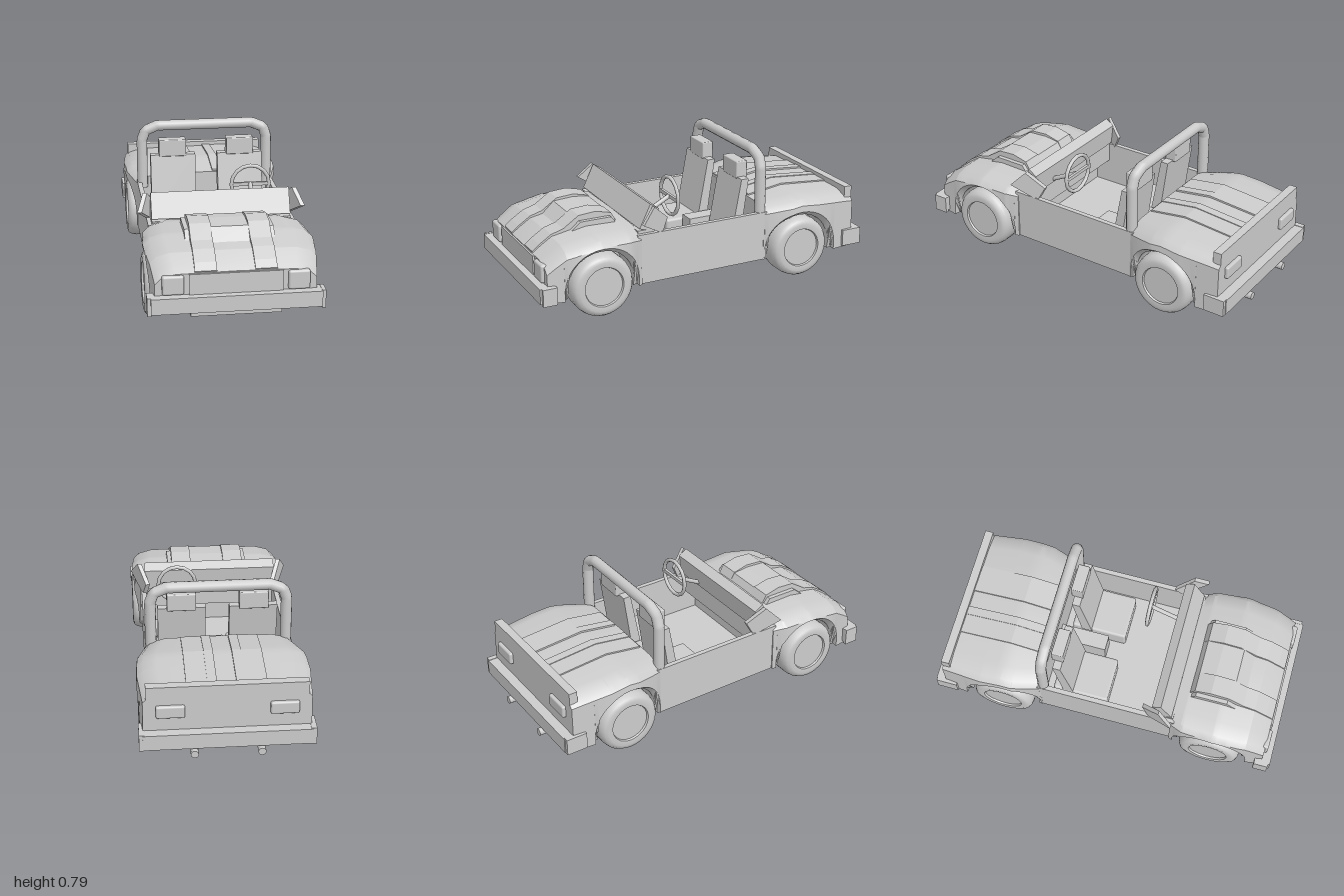
import * as THREE from 'three';
import { toCreasedNormals } from 'three/addons/utils/BufferGeometryUtils.js';
import { RoundedBoxGeometry } from 'three/addons/geometries/RoundedBoxGeometry.js';

const FRONT_AXLE = 0.64, REAR_AXLE = -0.585, WHEEL_Y = 0.177, FLOOR_Y = 0.13;

// Piecewise linear lookup in [position, value] pairs
function lerpTable(table, z) {
  for (let i = 1; i < table.length; i++) {
    const [z0, v0] = table[i - 1], [z1, v1] = table[i];
    if (z <= z1) return v0 + (v1 - v0) * Math.max(0, (z - z0) / (z1 - z0));
  }
  return table[table.length - 1][1];
}

// Lower edge of the body side over a wheel
function archY(z, axle, r) {
  const d = Math.abs(z - axle);
  return d < r ? WHEEL_Y + Math.sqrt(r * r - d * d) : FLOOR_Y;
}

// Body end lofted from cross-sections along z, with wheel wells
function bodyLoft(top, half, axle) {
  const zs = [...top, ...half].map(p => p[0]);
  for (const r of [0.218, 0.192]) {
    for (let i = 0; i <= 16; i++) zs.push(axle + r * 0.9999 * Math.cos(Math.PI * i / 16));
    zs.push(axle - r - 0.0005, axle + r + 0.0005);
  }
  const lo = top[0][0], hi = top[top.length - 1][0];
  const stations = [...new Set(zs)].filter(z => z >= lo && z <= hi).sort((a, b) => a - b);
  const pos = [];
  const sections = stations.map(z => {
    const t = lerpTable(top, z), w = lerpTable(half, z);
    const outer = archY(z, axle, 0.218), inner = archY(z, axle, 0.192);
    const right = [
      [w - 0.11, t - 0.004], [w - 0.035, t - 0.025], [w - 0.004, Math.max(t - 0.055, outer + 0.004)],
      [w, outer], [w - 0.035, inner], [0.265, inner], [0.265, FLOOR_Y],
    ];
    const left = right.map(([x, y]) => [-x, y]).reverse();
    return [[0, t], ...right, ...left].map(([x, y]) => [x, y, z]);
  });
  const n = sections[0].length;
  for (let i = 0; i < sections.length - 1; i++) {
    for (let j = 0; j < n; j++) {
      const k = (j + 1) % n, a = sections[i], b = sections[i + 1];
      pos.push(...a[j], ...b[j], ...a[k], ...a[k], ...b[j], ...b[k]);
    }
  }
  const first = sections[0], last = sections[sections.length - 1];
  for (let j = 0; j < n; j++) {
    const k = (j + 1) % n;
    pos.push(0, 0.25, lo, ...first[j], ...first[k]);
    pos.push(0, 0.25, hi, ...last[k], ...last[j]);
  }
  const g = new THREE.BufferGeometry();
  g.setAttribute('position', new THREE.Float32BufferAttribute(pos, 3));
  return toCreasedNormals(g, 0.5);
}

// Side outline of [z, y] points extruded from x0 to x1
function prism(points, x0, x1) {
  const shape = new THREE.Shape(points.map(([z, y]) => new THREE.Vector2(z, y)));
  const g = new THREE.ExtrudeGeometry(shape, { depth: x1 - x0, bevelEnabled: false });
  return g.rotateY(-Math.PI / 2).translate(x1, 0, 0);
}

// Box from its limits, with rounded edges if r is given
function box(x0, x1, y0, y1, z0, z1, r = 0) {
  const s = [x1 - x0, y1 - y0, z1 - z0];
  const g = r ? new RoundedBoxGeometry(...s, 2, r) : new THREE.BoxGeometry(...s);
  return g.translate((x0 + x1) / 2, (y0 + y1) / 2, (z0 + z1) / 2);
}

function wheelGeometry() {
  const side = [[0.108, 0.073], [0.112, 0.084], [0.14, 0.087], [0.16, 0.08], [0.172, 0.062], [0.177, 0.035]];
  const profile = [[0, -0.073], ...side.map(([r, x]) => [r, -x]), ...side.slice().reverse(), [0, 0.073]];
  const g = new THREE.LatheGeometry(profile.map(p => new THREE.Vector2(...p)), 32);
  return toCreasedNormals(g.rotateZ(-Math.PI / 2), 0.7);
}

export function createModel() {
  const car = new THREE.Group();
  car.name = 'openCar';
  const material = new THREE.MeshStandardMaterial({ color: 0xcccccc });
  const add = (name, geometry) => {
    const mesh = new THREE.Mesh(geometry, material);
    mesh.name = name;
    car.add(mesh);
    return mesh;
  };

  // Body ends
  const hoodTop = [[0.4, 0.44], [0.46, 0.45], [0.65, 0.455], [0.84, 0.42], [0.91, 0.375], [0.95, 0.345]];
  const hoodHalf = [[0.4, 0.41], [0.47, 0.44], [0.65, 0.452], [0.8, 0.443], [0.95, 0.42]];
  const deckTop = [[-0.93, 0.455], [-0.86, 0.462], [-0.585, 0.485], [-0.36, 0.453]];
  const deckHalf = [[-0.93, 0.44], [-0.7, 0.462], [-0.52, 0.455], [-0.42, 0.425], [-0.36, 0.405]];
  add('frontBody', bodyLoft(hoodTop, hoodHalf, FRONT_AXLE));
  add('rearBody', bodyLoft(deckTop, deckHalf, REAR_AXLE));

  // Cabin tub
  add('cabinFloor', box(-0.4, 0.4, FLOOR_Y, 0.155, -0.37, 0.41));
  add('underTray', box(-0.26, 0.26, 0.08, 0.135, -0.39, 0.22));
  add('dashboard', box(-0.38, 0.38, 0.3, 0.43, 0.31, 0.41));
  add('console', box(-0.045, 0.045, 0.15, 0.3, -0.36, -0.08));

  // Hood scoop
  const scoop = [[0.46, 0.44], [0.49, 0.49], [0.58, 0.502], [0.7, 0.495], [0.77, 0.43]];
  add('scoopCentre', prism(scoop, -0.1, 0.1));
  const hump = [[0.46, 0.44], [0.49, 0.495], [0.58, 0.517], [0.68, 0.51], [0.77, 0.45],
    [0.84, 0.43], [0.91, 0.385], [0.95, 0.352], [0.94, 0.33], [0.8, 0.4], [0.6, 0.43]];
  const shoulder = [[0.47, 0.44], [0.5, 0.48], [0.68, 0.48], [0.74, 0.43]];

  // Rear deck strips and tail lip
  const strip = [[-0.89, 0.44], [-0.89, 0.468], [-0.585, 0.495], [-0.37, 0.464], [-0.37, 0.44]];
  add('tailLip', box(-0.42, 0.42, 0.42, 0.487, -0.932, -0.885));

  // Windscreen frame
  add('windscreenFrame', prism([[0.4, 0.44], [0.385, 0.47], [0.335, 0.572], [0.285, 0.54], [0.3, 0.42]], -0.38, 0.38));

  for (const s of [-1, 1]) {
    const side = s > 0 ? 'left' : 'right';
    const span = (a, b) => (s > 0 ? [a, b] : [-b, -a]);
    add(side + 'Sill', box(...span(0.375, 0.402), FLOOR_Y, 0.413, -0.38, 0.42));
    add(side + 'HoodRidge', prism(hump, ...span(0.098, 0.212)));
    add(side + 'ScoopShoulder', prism(shoulder, ...span(0.2, 0.236)));
    add(side + 'DeckStripInner', prism(strip, ...span(0.05, 0.1)));
    add(side + 'DeckStripOuter', prism(strip.map(([z, y]) => [z, y - 0.004]), ...span(0.1, 0.21)));

    // Slanted wing panel at the windscreen end
    const wing = prism([[0.41, 0.485], [0.33, 0.568], [0.23, 0.48], [0.27, 0.4]], -0.012, 0.012);
    const p = wing.attributes.position;
    for (let i = 0; i < p.count; i++) p.setX(i, p.getX(i) + s * (0.365 + (p.getZ(i) - 0.23) * 0.45));
    wing.computeVertexNormals();
    add(side + 'WingPanel', wing);

    // Seats
    add(side + 'SeatCushion', box(...span(0.07, 0.33), 0.15, 0.27, -0.31, 0.01, 0.015));
    add(side + 'SeatBack', prism([[-0.3, 0.6], [-0.255, 0.6], [-0.19, 0.25], [-0.25, 0.25]], ...span(0.065, 0.328)));
    add(side + 'Headrest', box(...span(0.118, 0.278), 0.59, 0.69, -0.318, -0.25, 0.006));

    // Lamps and exhaust
    add(side + 'Headlight', box(...span(0.267, 0.38), 0.233, 0.336, 0.93, 0.968, 0.012));
    add(side + 'TailLamp', box(...span(0.22, 0.37), 0.31, 0.38, -0.95, -0.92, 0.01));
    const exhaust = new THREE.CylinderGeometry(0.021, 0.021, 0.1, 12).rotateX(Math.PI / 2);
    add(side + 'Exhaust', exhaust.translate(s * 0.175, 0.118, -0.95));

    // Wheels
    add(side + 'FrontWheel', wheelGeometry()).position.set(s * 0.367, WHEEL_Y, FRONT_AXLE);
    add(side + 'RearWheel', wheelGeometry()).position.set(s * 0.367, WHEEL_Y, REAR_AXLE);
  }

  // Grille and bumpers
  add('grille', box(-0.242, 0.242, 0.23, 0.34, 0.92, 0.96));
  add('frontBumper', box(-0.44, 0.44, 0.145, 0.23, 0.91, 1.0));
  add('rearBumper', box(-0.44, 0.44, 0.145, 0.232, -0.985, -0.91));
  for (const s of [-1, 1]) {
    add('frontBumperEnd', box(s * 0.448 - 0.01, s * 0.448 + 0.01, 0.135, 0.232, 0.91, 0.99));
    add('rearBumperEnd', box(s * 0.445 - 0.015, s * 0.445 + 0.015, 0.14, 0.235, -0.98, -0.86));
  }
  add('frontLip', box(-0.235, 0.235, 0.11, 0.15, 0.92, 0.96));

  // Roll bar
  const half = [[0.37, 0.38], [0.37, 0.67], [0.35, 0.725], [0.28, 0.754]];
  const bar = [...half, ...half.slice().reverse().map(([x, y]) => [-x, y])];
  const path = new THREE.CurvePath();
  for (let i = 1; i < bar.length; i++) {
    path.add(new THREE.LineCurve3(new THREE.Vector3(...bar[i - 1], -0.35), new THREE.Vector3(...bar[i], -0.35)));
  }
  add('rollBar', new THREE.TubeGeometry(path, 90, 0.031, 12));

  // Steering wheel and column
  add('steeringWheel', new THREE.TorusGeometry(0.107, 0.011, 8, 16).translate(0.2, 0.53, 0.13));
  add('steeringSpoke', box(0.095, 0.305, 0.52, 0.54, 0.122, 0.138));
  const column = new THREE.LineCurve3(new THREE.Vector3(0.2, 0.53, 0.13), new THREE.Vector3(0.2, 0.42, 0.34));
  add('steeringColumn', new THREE.TubeGeometry(column, 1, 0.013, 8));

  return car;
}
